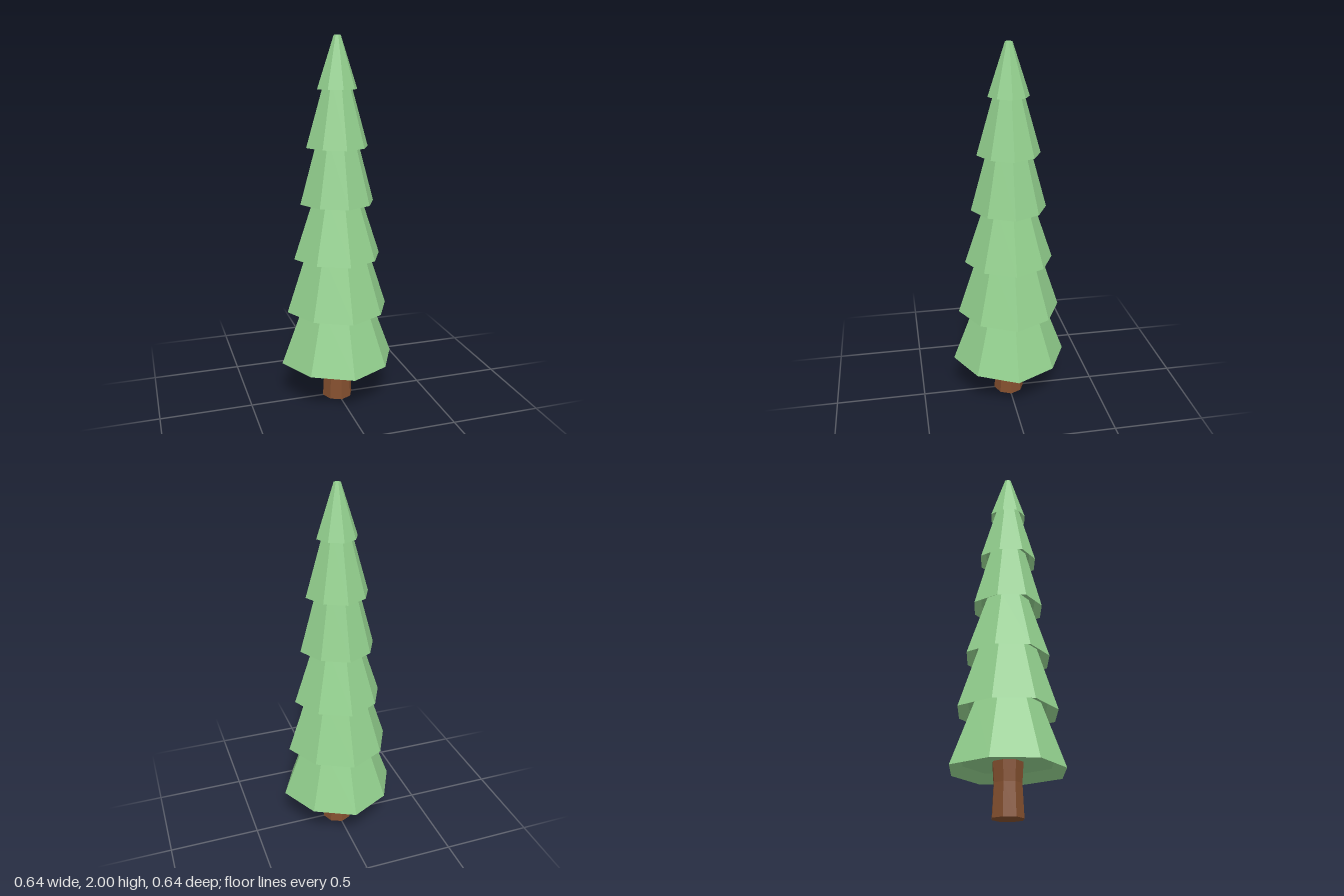
import * as THREE from 'three';

const SIDES = 8;
const DIAGONAL = 0.94; // diagonal corners sit slightly closer to the axis
const RECESS = 0.045;  // hollow under each tier

const material = (color) => new THREE.MeshStandardMaterial({ color, flatShading: true });

// Eight-sided turned solid from [radius, height] pairs, bottom to top
function turned(name, profile, mat, diagonal) {
  const points = profile.map(([r, y]) => new THREE.Vector2(r, y));
  const geometry = new THREE.LatheGeometry(points, SIDES);
  const pos = geometry.attributes.position;
  for (let i = 0; i < pos.count; i++) {
    const x = pos.getX(i), z = pos.getZ(i);
    if (Math.abs(x) > 1e-4 && Math.abs(z) > 1e-4) {
      pos.setX(i, x * diagonal);
      pos.setZ(i, z * diagonal);
    }
  }
  geometry.computeVertexNormals();
  const mesh = new THREE.Mesh(geometry, mat);
  mesh.name = name;
  return mesh;
}

export function createModel() {
  const tree = new THREE.Group();
  tree.name = 'pineTree';
  const bark = material(0x85502f);
  const needles = material(0x93d08e);

  // Trunk, narrow at the waist and flared at both ends
  tree.add(turned('trunk', [
    [0, 0], [0.086, 0], [0.077, 0.17], [0.084, 0.23 + RECESS],
  ], bark, 0.97));

  // Foliage tiers: [bottom height, rim radius, radius where the next tier starts]
  const tiers = [
    [0.23, 0.32, 0.206],
    [0.53, 0.285, 0.185],
    [0.83, 0.243, 0.142],
    [1.13, 0.205, 0.122],
    [1.43, 0.17, 0.083],
    [1.73, 0.109, 0.019],
  ];
  const foliage = new THREE.Group();
  foliage.name = 'foliage';
  tiers.forEach(([y, rim, neck], i) => {
    const last = i === tiers.length - 1;
    const top = last ? 2 : tiers[i + 1][0];
    const slope = (rim - neck) / (top - y);
    const profile = [[0, y + RECESS], [rim * 0.8, y + RECESS], [rim, y]];
    // The wall runs on into the hollow of the tier above; the tip is capped flat
    if (last) profile.push([neck, top], [0, top]);
    else profile.push([neck - slope * RECESS, top + RECESS]);
    foliage.add(turned(`foliageTier${i + 1}`, profile, needles, DIAGONAL));
  });
  tree.add(foliage);
  return tree;
}
